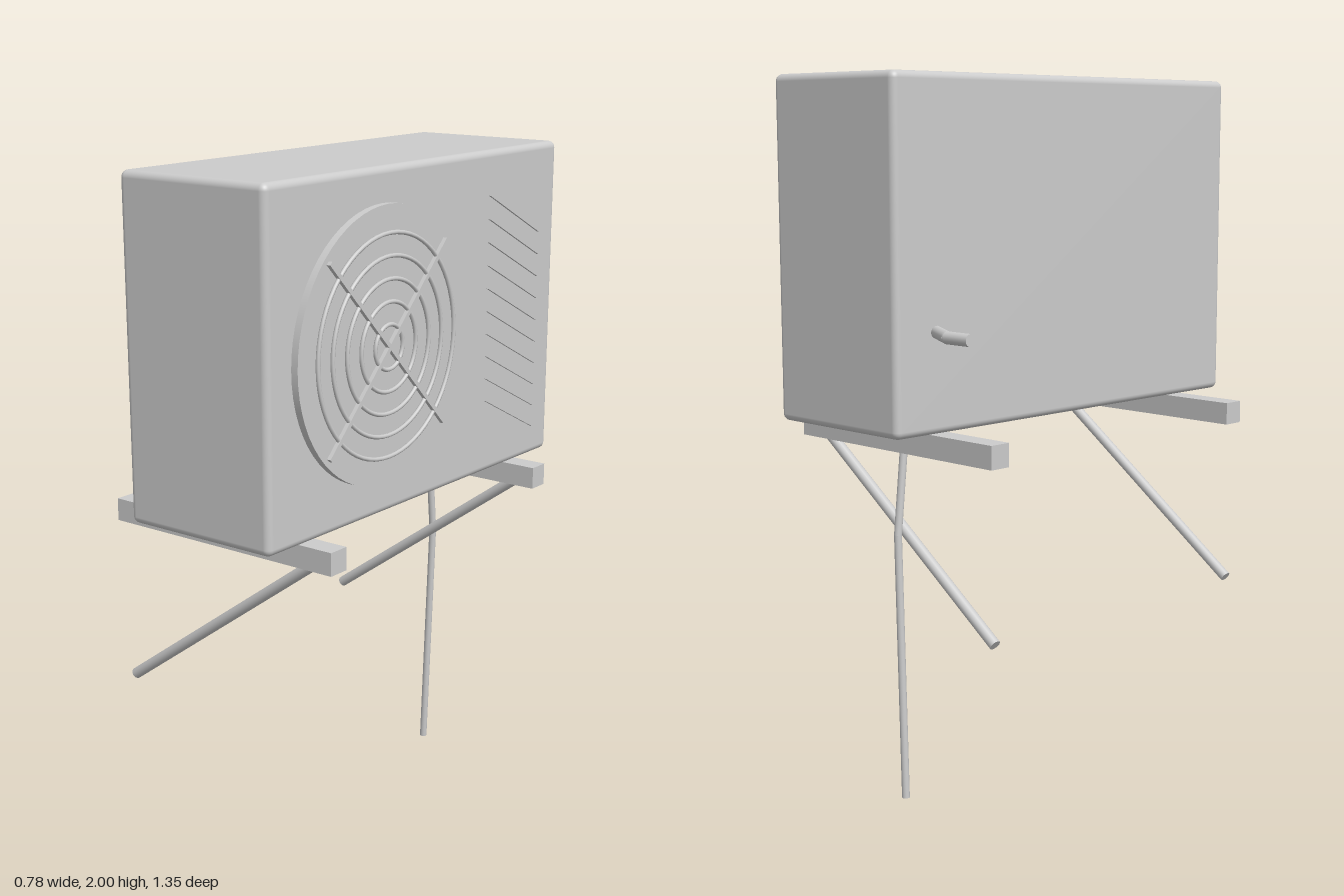
import * as THREE from 'three';
import { RoundedBoxGeometry } from 'three/addons/geometries/RoundedBoxGeometry.js';

const material = new THREE.MeshStandardMaterial({ color: 0xcccccc });
const V = (x, y, z) => new THREE.Vector3(x, y, z);

export function createModel() {
  const model = new THREE.Group();
  model.name = 'outdoorAirConditioner';

  const add = (name, geometry, x = 0, y = 0, z = 0, parent = model) => {
    const mesh = new THREE.Mesh(geometry, material);
    mesh.name = name;
    mesh.position.set(x, y, z);
    parent.add(mesh);
    return mesh;
  };

  // Capped round rod between two points
  const rod = (name, a, b, radius, parent = model) => {
    const dir = b.clone().sub(a);
    const mid = a.clone().add(b).multiplyScalar(0.5);
    const mesh = add(name, new THREE.CylinderGeometry(radius, radius, dir.length(), 16), mid.x, mid.y, mid.z, parent);
    mesh.quaternion.setFromUnitVectors(V(0, 1, 0), dir.normalize());
    return mesh;
  };

  // Pipe of straight runs with ball-shaped elbows
  const pipe = (name, points, radius) => {
    const group = new THREE.Group();
    group.name = name;
    model.add(group);
    for (let i = 0; i < points.length - 1; i++) {
      rod(name + 'Run', points[i], points[i + 1], radius, group);
      if (i > 0) add(name + 'Elbow', new THREE.SphereGeometry(radius, 16, 10), ...points[i].toArray(), group);
    }
  };

  // Casing
  add('casing', new RoundedBoxGeometry(0.49, 0.95, 1.35, 4, 0.02), 0.055, 1.525, 0);

  // Fan cover: disc, concentric wire rings and a diagonal cross
  const fan = new THREE.Group();
  fan.name = 'fanCover';
  fan.position.set(0.3, 1.525, 0.2);
  model.add(fan);
  add('fanDisc', new THREE.CylinderGeometry(0.38, 0.38, 0.03, 64), 0.006, 0, 0, fan).rotation.z = Math.PI / 2;
  for (let i = 1; i <= 5; i++) {
    add('grilleRing', new THREE.TorusGeometry(0.061 * i, 0.006, 8, 64), 0.026, 0, 0, fan).rotation.y = Math.PI / 2;
  }
  for (const s of [-1, 1]) {
    add('grilleBar', new THREE.BoxGeometry(0.012, 0.012, 0.73), 0.027, 0, 0, fan).rotation.x = s * Math.PI / 4;
  }

  // Slanted vent slats beside the fan
  for (let i = 0; i < 10; i++) {
    add('ventSlat', new THREE.BoxGeometry(0.016, 0.02, 0.3), 0.299, 1.215 + i * 0.0667, -0.448).rotation.x = -0.46;
  }

  // Wall bracket: rails and slanting struts on both sides
  for (const s of [-1, 1]) {
    add('bracketRail', new THREE.BoxGeometry(0.775, 0.065, 0.065), -0.002, 1.0125, s * 0.495);
    rod('bracketStrut', V(0.32, 1.0, s * 0.497), V(-0.37, 0.5, s * 0.497), 0.016);
  }

  // Refrigerant pipe at the back and drain hose below
  pipe('refrigerantPipe', [V(-0.18, 1.325, -0.526), V(-0.305, 1.325, -0.6), V(-0.39, 1.325, -0.6)], 0.017);
  pipe('drainHose', [V(-0.025, 1.06, -0.497), V(-0.026, 0.98, -0.508), V(-0.028, 0.75, -0.534), V(-0.06, 0.001, -0.545)], 0.011);

  return model;
}
